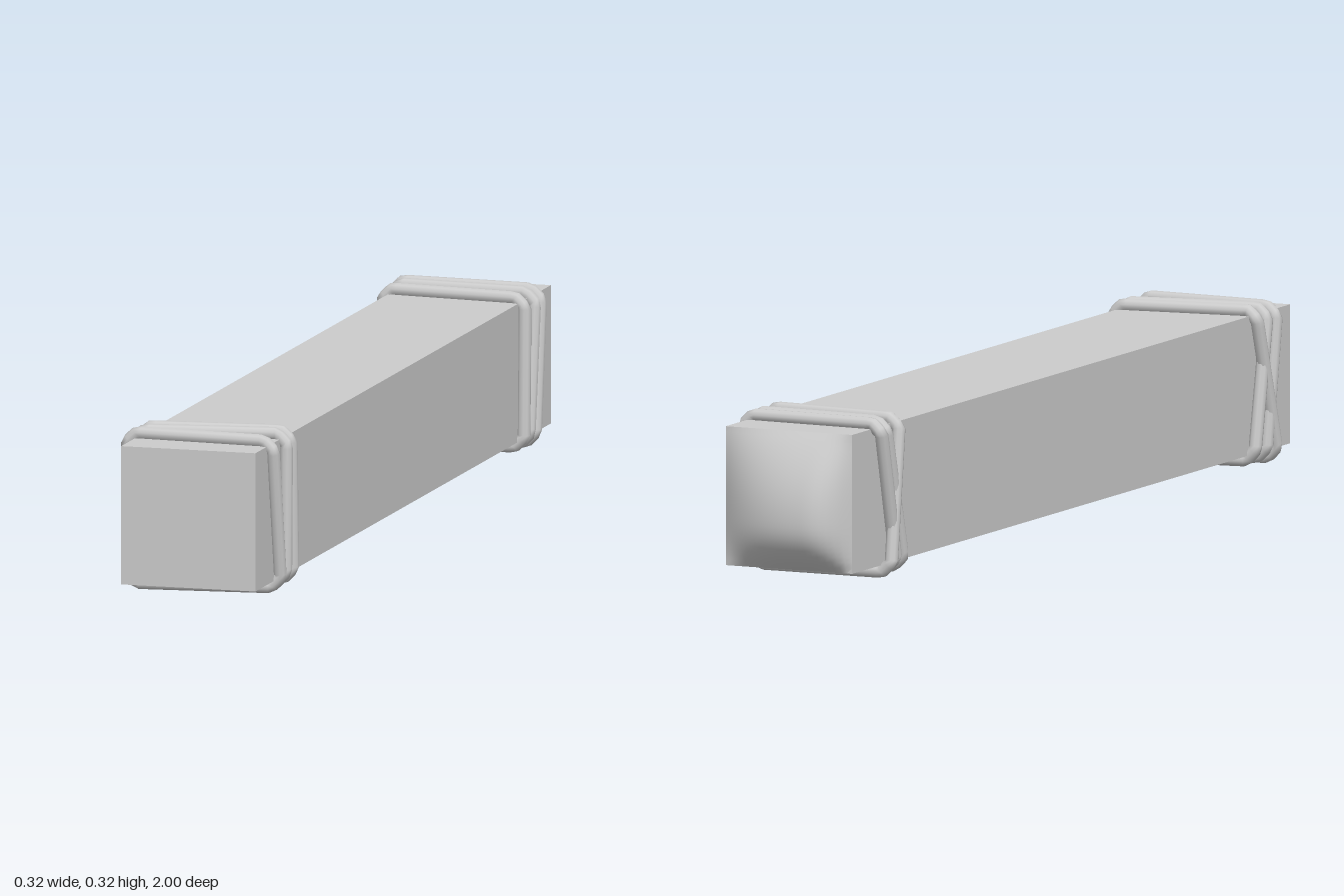
import * as THREE from 'three';

const L = -0.132, R = 0.138, B = 0.03, T = 0.3, BACK = -0.936;

// Closed rope winding round the beam; each turn lists z at top left,
// top right, bottom right, bottom left, and how far the left side stands out.
function ropeCoil(turns) {
  const c = 0.02;
  const pts = [];
  const p = (x, y, z) => pts.push(new THREE.Vector3(x, y, z));
  for (const [tl, tr, br, bl, out] of turns) {
    const l = L - 0.012 - out, r = R + 0.01, t = T + 0.009, b = B - 0.009 - out * 0.6;
    p(l, t - c, tl); p(l + c, t, tl);
    p(r - c, t, tr); p(r, t - c, tr);
    p(r, b + c, br); p(r - c, b, br);
    p(l + c, b, bl); p(l, b + c, bl);
  }
  const curve = new THREE.CatmullRomCurve3(pts, true, 'catmullrom', 0.02);
  curve.arcLengthDivisions = 1200;
  return new THREE.TubeGeometry(curve, 360, 0.013, 10, true);
}

// Bulged end cap with an off-centre peak
function domeCap() {
  const g = new THREE.PlaneGeometry(R - L, T - B, 24, 24);
  g.rotateY(Math.PI);
  g.translate((L + R) / 2, (B + T) / 2, BACK);
  const fall = (u, lo, peak, hi, kLo, kHi) => u < peak
    ? 1 - Math.pow((peak - u) / (peak - lo), kLo)
    : 1 - Math.pow((u - peak) / (hi - peak), kHi);
  const pos = g.attributes.position;
  for (let i = 0; i < pos.count; i++) {
    const h = fall(pos.getX(i), L, -0.05, R, 2.6, 2.3) * fall(pos.getY(i), B, 0.13, T, 2.4, 2);
    pos.setZ(i, BACK - 0.064 * Math.max(0, h));
  }
  g.computeVertexNormals();
  return g;
}

export function createModel() {
  const model = new THREE.Group();
  model.name = 'ropeBoundBeam';
  const grey = new THREE.MeshStandardMaterial({ color: 0xcccccc });
  grey.name = 'grey';
  const add = (name, geometry) => {
    const mesh = new THREE.Mesh(geometry, grey);
    mesh.name = name;
    model.add(mesh);
    return mesh;
  };

  // Square beam
  add('beam', new THREE.BoxGeometry(R - L, T - B, 1 - BACK))
    .position.set((L + R) / 2, (B + T) / 2, (1 + BACK) / 2);
  add('domedEnd', domeCap());

  // Rope bindings near both ends; the last turn crosses over to close the loop
  add('frontRope', ropeCoil([
    [0.83, 0.80, 0.79, 0.82, 0],
    [0.87, 0.83, 0.835, 0.87, 0],
    [0.90, 0.915, 0.87, 0.90, 0.006],
  ]));
  add('backRope', ropeCoil([
    [-0.755, -0.732, -0.725, -0.74, 0],
    [-0.81, -0.795, -0.76, -0.77, 0],
    [-0.843, -0.832, -0.80, -0.80, 0.006],
  ]));
  return model;
}
